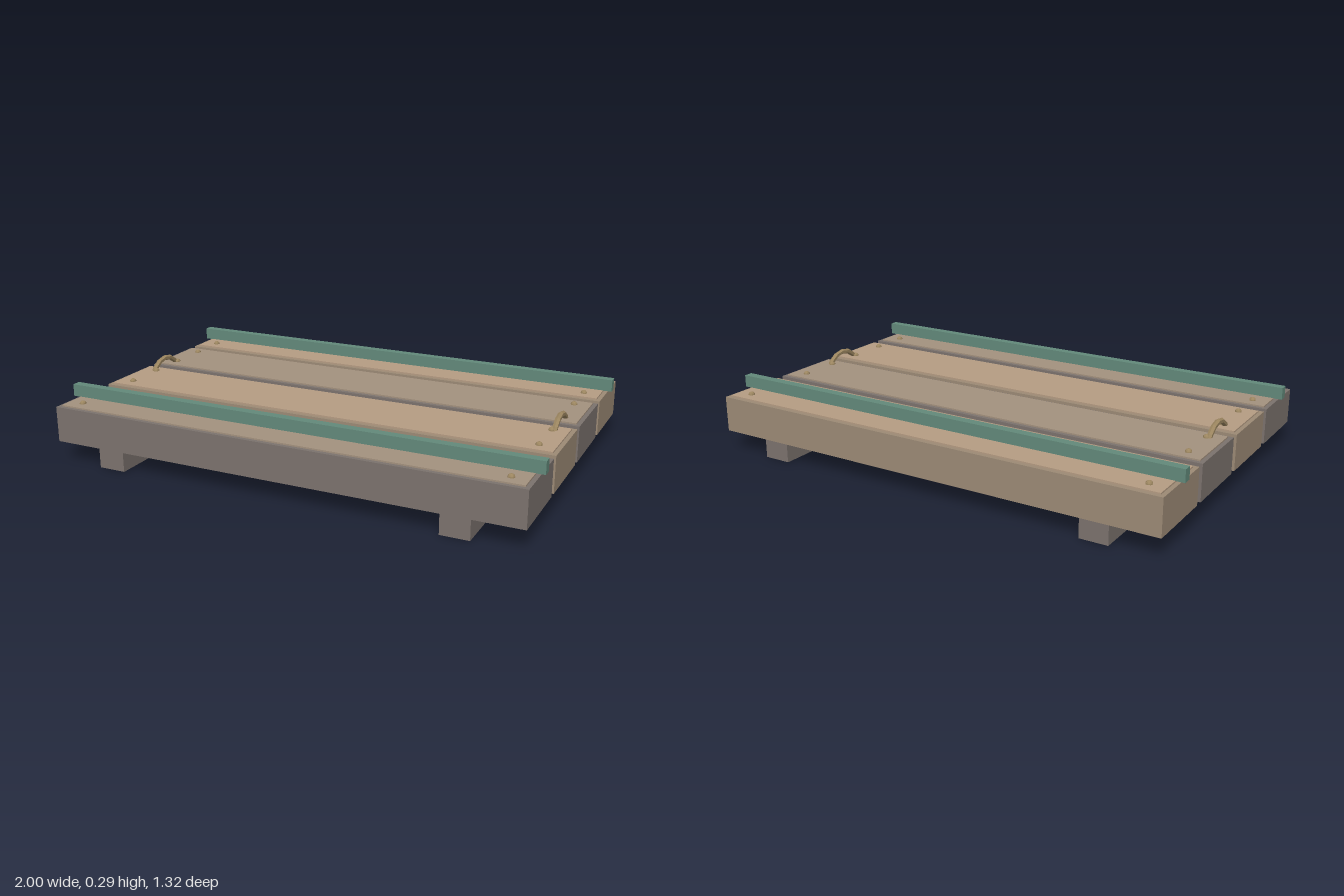
import * as THREE from 'three';

const paint = (color) => new THREE.MeshStandardMaterial({ color, flatShading: true });

export function createModel() {
  const model = new THREE.Group();
  const greyWood = paint(0x7b726d);
  const tanWood = paint(0x9c8a75);
  const greyTop = paint(0xa3917e);
  const tanTop = paint(0xb59c83);
  const green = paint(0x62897a);
  const brass = paint(0x9c8660);

  const add = (parent, name, geometry, material, x, y, z) => {
    const mesh = new THREE.Mesh(geometry, material);
    mesh.name = name;
    mesh.position.set(x, y, z);
    parent.add(mesh);
    return mesh;
  };

  // Low domed bolt head, standing on the plank
  const boltGeometry = new THREE.SphereGeometry(0.014, 8, 4, 0, Math.PI * 2, 0, Math.PI / 2);

  // Four planks from back to front, each with a raised top panel and four bolts
  for (let i = 0; i < 4; i++) {
    const plank = new THREE.Group();
    plank.name = 'plank' + (i + 1);
    plank.position.z = (i - 1.5) * 0.338;
    const tan = i % 2 === 0;
    add(plank, 'plankBody', new THREE.BoxGeometry(1.964, 0.147, 0.307), tan ? tanWood : greyWood, 0, 0.1565, 0);
    add(plank, 'plankTop', new THREE.BoxGeometry(1.93, 0.01, 0.273), tan ? tanTop : greyTop, 0, 0.231, 0);
    for (const x of [-0.9, 0.9])
      for (const z of [-0.086, 0.086]) add(plank, 'bolt', boltGeometry, brass, x, 0.235, z);
    model.add(plank);
  }

  // The alternation of the plank colours runs tan, grey, tan, grey towards the front
  // Rails along the two outer planks
  for (const z of [-0.507, 0.507])
    add(model, 'rail', new THREE.BoxGeometry(2, 0.05, 0.036), green, 0, 0.26, z);

  // Runners and ring handles at both ends
  for (const side of [-1, 1]) {
    add(model, 'runner', new THREE.BoxGeometry(0.115, 0.086, 1.304), greyWood, side * 0.727, 0.043, 0.003);
    const handle = add(model, 'ringHandle', new THREE.TorusGeometry(0.105, 0.0115, 6, 16), brass, side * 0.91, 0.169, 0);
    handle.rotation.y = Math.PI / 2;
  }
  return model;
}
